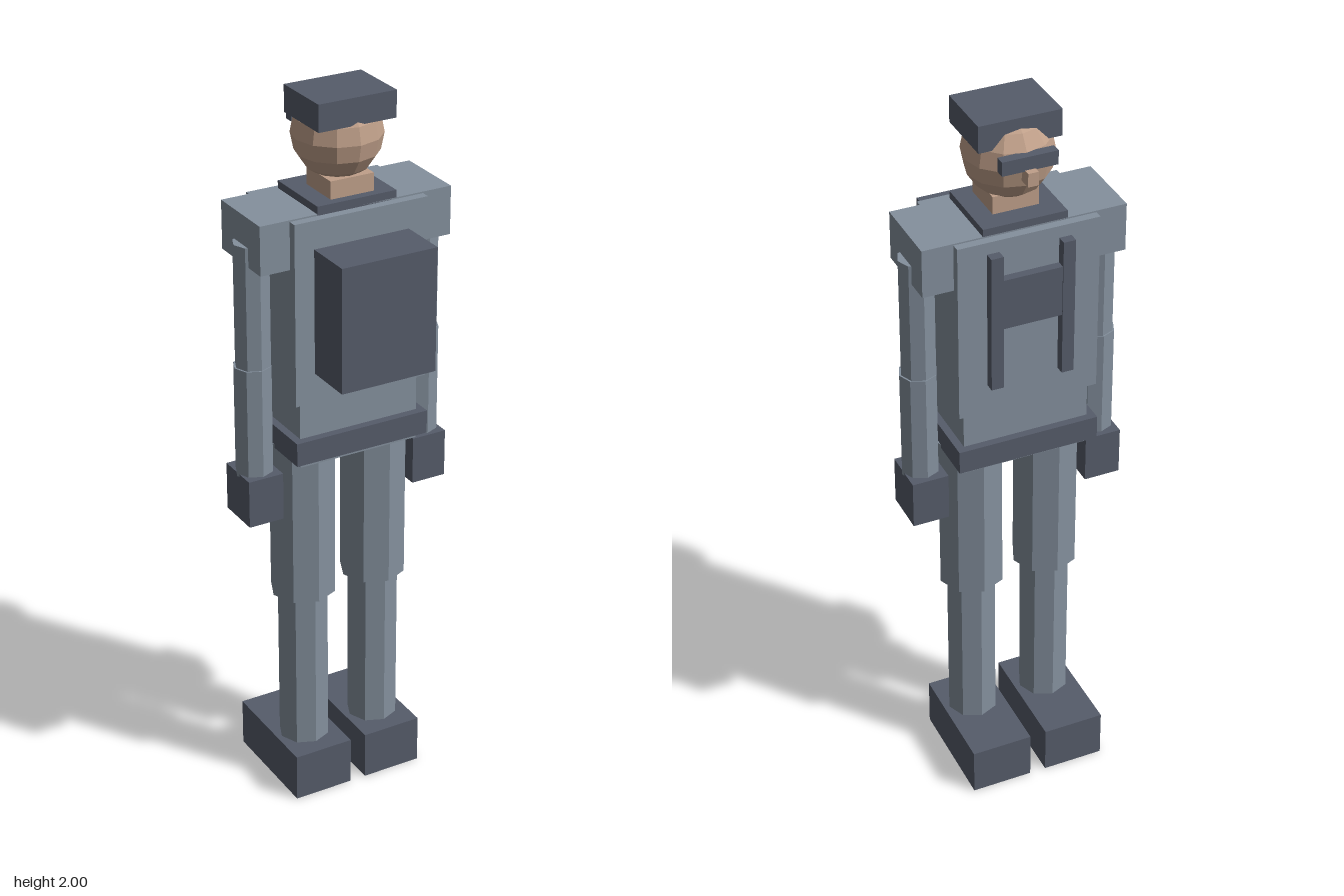
import * as THREE from 'three';

export function createModel() {
  const model = new THREE.Group();
  model.name = 'uniformedFigure';

  const material = (name, color) => {
    const m = new THREE.MeshStandardMaterial({ color });
    m.name = name;
    return m;
  };
  const cloth = material('greyCloth', 0x84909d);
  const gear = material('darkGear', 0x565c6a);
  const skin = material('skin', 0xc0a08a);

  const add = (name, geometry, mat, x, y, z) => {
    const mesh = new THREE.Mesh(geometry, mat);
    mesh.name = name;
    mesh.position.set(x, y, z);
    model.add(mesh);
    return mesh;
  };
  // box given by its extents on each axis
  const box = (name, mat, [x0, x1], [y0, y1], [z0, z1]) =>
    add(name, new THREE.BoxGeometry(x1 - x0, y1 - y0, z1 - z0), mat,
      (x0 + x1) / 2, (y0 + y1) / 2, (z0 + z1) / 2);
  // eight-sided upright limb segment
  const limb = (name, r, x, y0, y1) =>
    add(name, faceted(new THREE.CylinderGeometry(r, r, y1 - y0, 8)), cloth, x, (y0 + y1) / 2, -0.028);
  const faceted = (geometry) => {
    const flat = geometry.toNonIndexed();
    flat.computeVertexNormals();
    return flat;
  };

  // head, cap and face, looking towards -z
  add('head', faceted(new THREE.SphereGeometry(0.118, 12, 8)), skin, 0, 1.88, -0.028);
  box('cap', gear, [-0.11, 0.11], [1.928, 2], [-0.1, 0.074]);
  box('goggles', gear, [-0.074, 0.074], [1.887, 1.925], [-0.157, -0.13]);
  box('nose', skin, [-0.014, 0.014], [1.853, 1.89], [-0.175, -0.13]);
  box('neck', skin, [-0.062, 0.062], [1.72, 1.785], [-0.075, 0.048]);
  box('collar', gear, [-0.113, 0.113], [1.7, 1.737], [-0.132, 0.072]);

  // body
  box('shoulders', cloth, [-0.274, 0.274], [1.585, 1.717], [-0.132, 0.072]);
  box('torso', cloth, [-0.191, 0.191], [1.216, 1.713], [-0.155, 0.096]);
  box('waist', cloth, [-0.173, 0.173], [1.032, 1.216], [-0.14, 0.083]);
  box('belt', gear, [-0.194, 0.194], [1.05, 1.115], [-0.161, 0.105]);

  // pack and chest harness
  box('backpack', gear, [-0.136, 0.136], [1.298, 1.637], [0.09, 0.234]);
  box('harnessPanel', gear, [-0.081, 0.081], [1.47, 1.61], [-0.178, -0.15]);

  // mirrored limbs
  for (const s of [-1, 1]) {
    const side = s > 0 ? 'left' : 'right';
    const span = (a, b) => (s > 0 ? [a, b] : [-b, -a]);
    box(side + 'HarnessStrap', gear, span(0.08, 0.113), [1.298, 1.68], [-0.181, -0.15]);
    limb(side + 'UpperArm', 0.048, s * 0.247, 1.298, 1.637);
    limb(side + 'Forearm', 0.051, s * 0.249, 0.99, 1.3);
    box(side + 'Hand', gear, span(0.197, 0.297), [0.865, 0.998], [-0.093, 0.033]);
    limb(side + 'Thigh', 0.09, s * 0.108, 0.6, 1.06);
    limb(side + 'Shin', 0.07, s * 0.109, 0.12, 0.61);
    box(side + 'Boot', gear, span(0.023, 0.194), [0, 0.137], [-0.235, 0.085]);
  }
  return model;
}
